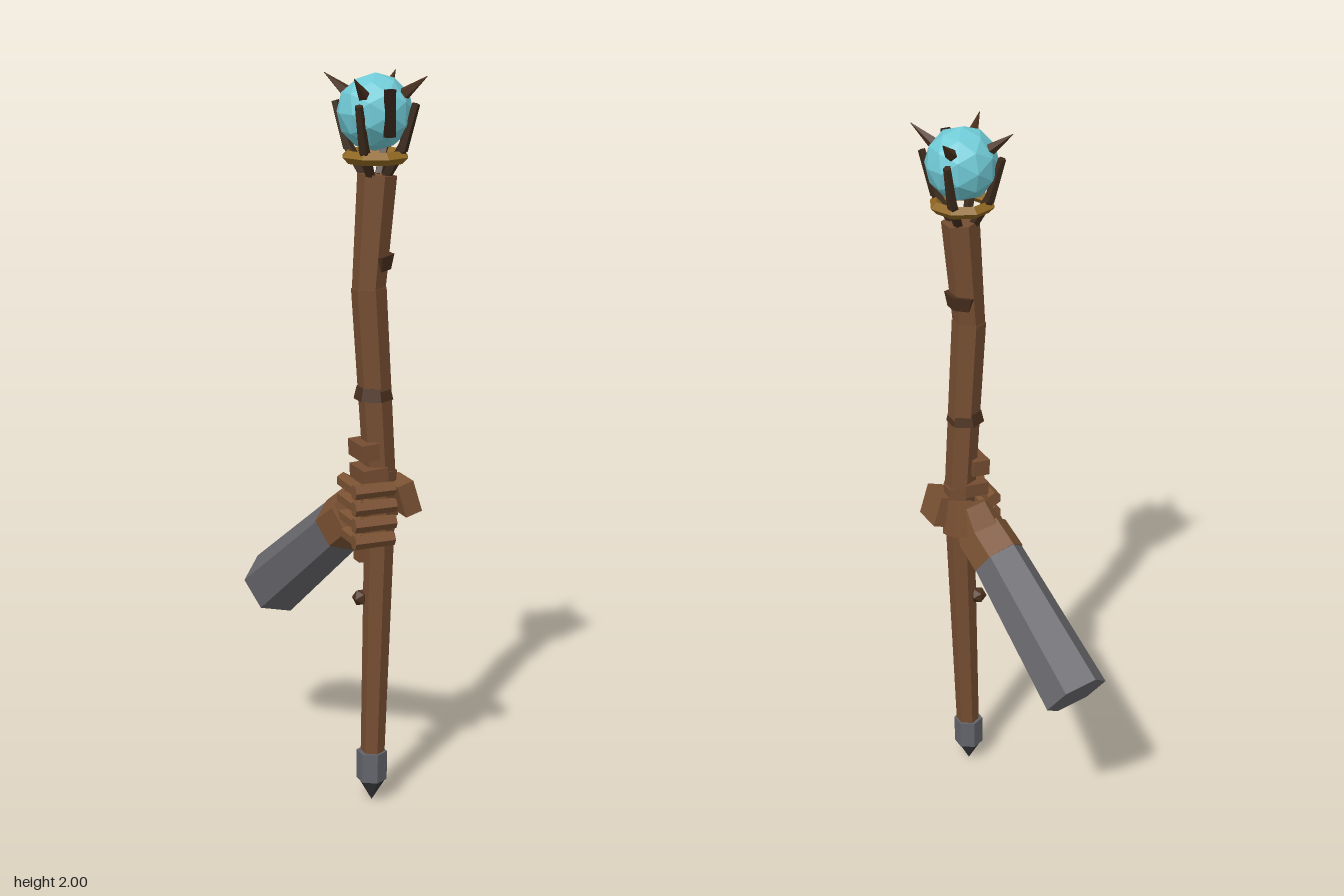
import * as THREE from 'three';

const mat = (name, color) => {
  const m = new THREE.MeshStandardMaterial({ color, flatShading: true });
  m.name = name;
  return m;
};

export function createModel() {
  const wood = mat('wood brown', 0x754d31);
  const darkWood = mat('dark wood', 0x4a301e);
  const skin = mat('hand brown', 0x7b5233);
  const clawMat = mat('claw brown', 0x3c2a1c);
  const gold = mat('dull gold', 0x8f6722);
  const sleeve = mat('sleeve grey', 0x69686d);
  const steel = mat('ferrule grey', 0x63646a);
  const tipMat = mat('dark tip', 0x38383c);
  const crystal = mat('crystal blue', 0x70cad6);
  const slitMat = mat('slit dark', 0x2b1d15);

  const root = new THREE.Group();
  root.name = 'staffAndArm';
  const UP = new THREE.Vector3(0, 1, 0);
  const Z = 0.215; // depth of the staff axis
  const CX = 0.038, CY = 1.9; // orb centre

  const add = (name, geo, material, pos, rot = [0, 0, 0]) => {
    const m = new THREE.Mesh(geo, material);
    m.name = name;
    m.position.set(...pos);
    m.rotation.set(...rot);
    root.add(m);
    return m;
  };
  const box = (name, size, material, pos, rot) =>
    add(name, new THREE.BoxGeometry(...size), material, pos, rot);
  // Tapered prism running from point a to point b
  const rod = (name, a, b, ra, rb, material, sides = 6, roll = 0) => {
    const A = new THREE.Vector3(...a), B = new THREE.Vector3(...b);
    const d = B.clone().sub(A);
    const geo = new THREE.CylinderGeometry(rb, ra, d.length(), sides, 1, false, roll);
    const m = add(name, geo, material, A.clone().add(B).multiplyScalar(0.5).toArray());
    m.quaternion.setFromUnitVectors(UP, d.normalize());
    return m;
  };

  // Staff: three crooked lengths, metal ferrule and point
  rod('staffLower', [0.04, 0.13, Z], [0.06, 0.95, Z], 0.033, 0.043, wood);
  rod('staffMiddle', [0.058, 0.9, Z], [0.022, 1.445, Z], 0.043, 0.047, wood);
  rod('staffUpper', [0.021, 1.43, Z], [0.044, 1.74, Z], 0.044, 0.052, wood);
  rod('ferrule', [0.038, 0.062, Z], [0.038, 0.145, Z], 0.042, 0.042, steel);
  rod('staffTip', [0.038, 0, Z], [0.038, 0.062, Z], 0.0005, 0.038, tipMat);

  // Knots along the wood
  rod('knotUpper', [0.042, 1.49, Z], [0.038, 1.53, Z], 0.04, 0.052, darkWood);
  rod('knotMiddle', [0.037, 1.145, Z], [0.037, 1.18, Z], 0.053, 0.045, darkWood);
  add('knotLower', new THREE.IcosahedronGeometry(0.025, 0), darkWood, [0.015, 0.585, 0.188]);

  // Grip wraps
  box('gripWrapTop', [0.05, 0.045, 0.096], wood, [0.01, 1.01, Z], [0, 0, 0.06]);
  box('gripWrapMiddle', [0.07, 0.038, 0.1], wood, [0.025, 0.945, Z], [0, 0, 0.06]);
  box('gripWrapLower', [0.03, 0.04, 0.04], wood, [0.015, 0.712, 0.19]);

  // Orb and its collar
  add('orb', new THREE.IcosahedronGeometry(0.1, 1), crystal, [CX, CY, 0.213]);
  add('collar', new THREE.TorusGeometry(0.074, 0.017, 4, 8), gold, [CX, 1.787, Z], [Math.PI / 2, 0, 0]);
  box('orbSlit', [0.026, 0.12, 0.018], slitMat, [CX, 1.905, 0.308]);

  // Four diagonal prongs with outward spikes
  for (const sx of [-1, 1]) for (const sz of [-1, 1]) {
    const at = (k, y) => [CX + sx * k, y, 0.213 + sz * k];
    rod('prongLower', at(0.022, 1.735), at(0.055, 1.815), 0.013, 0.015, clawMat, 5);
    rod('prongUpper', at(0.053, 1.805), at(0.079, 1.925), 0.015, 0.011, clawMat, 5);
    rod('prongSpike', at(0.05, 1.942), at(0.1, 1.995), 0.019, 0.001, darkWood, 5);
  }

  // Forearm sleeve and wrist
  const roll = THREE.MathUtils.degToRad(24);
  rod('sleeve', [-0.064, 0.49, -0.277], [0, 0.763, 0.083], 0.094, 0.077, sleeve, 6, roll);
  rod('wrist', [-0.001, 0.761, 0.08], [0.017, 0.815, 0.15], 0.079, 0.077, skin, 6, roll);

  // Hand closed around the staff
  rod('palm', [0.017, 0.8, 0.135], [0.035, 0.89, 0.185], 0.075, 0.058, skin, 6, roll);
  box('thumb', [0.048, 0.09, 0.095], skin, [0.112, 0.88, 0.242], [0, 0, 0.3]);
  box('thumbBase', [0.06, 0.1, 0.08], skin, [0.08, 0.865, 0.175], [0.3, 0, 0.15]);
  for (let i = 0; i < 4; i++) {
    const y = 0.912 - i * 0.046;
    const shift = i === 1 || i === 2 ? 0.004 : 0;
    rod('fingerBase', [-0.022, y, 0.15], [-0.025, y, 0.285], 0.021, 0.021, skin);
    rod('fingerTip', [-0.045, y, 0.278], [0.07 + shift, y, 0.278], 0.021, 0.019, skin);
  }
  return root;
}
